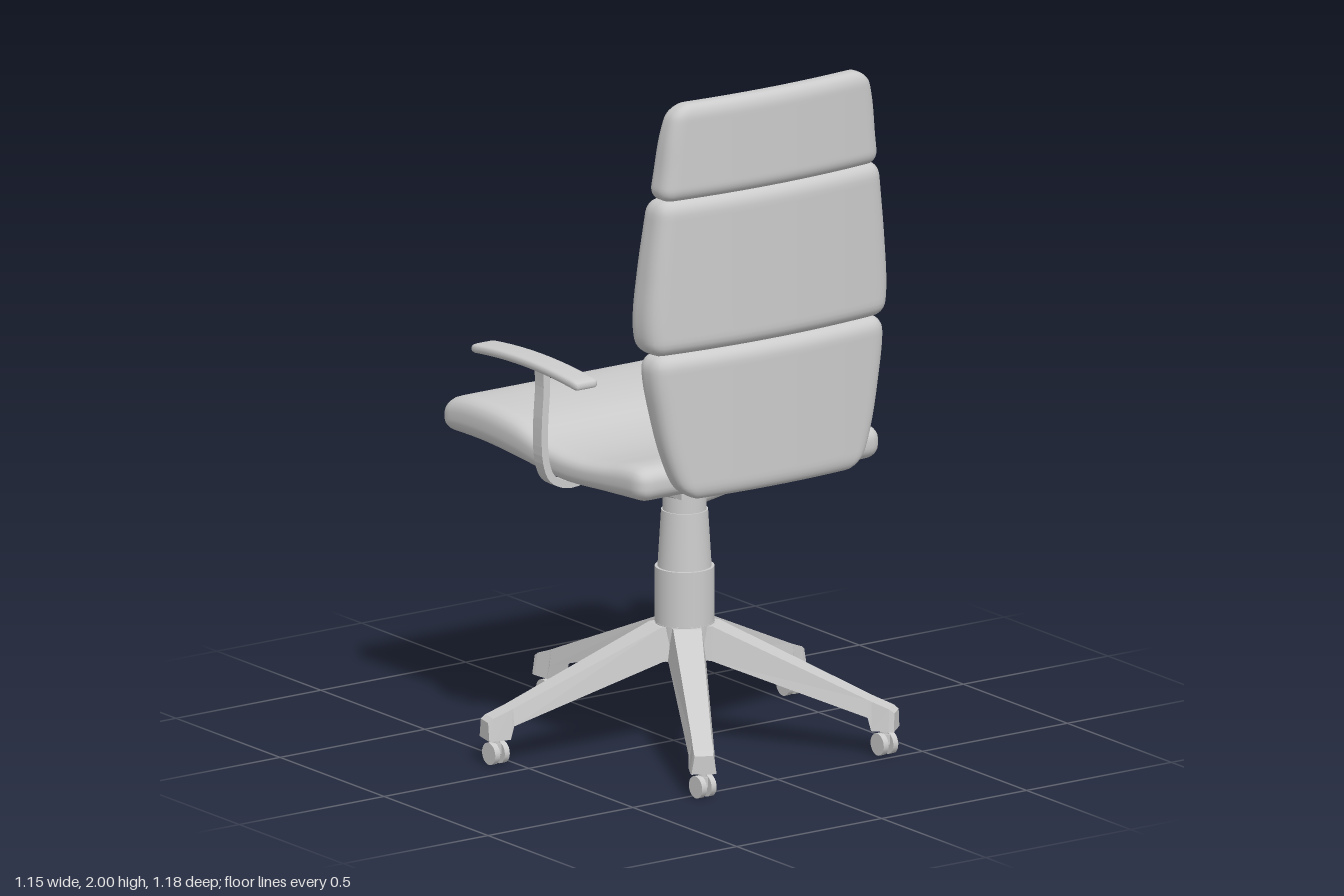
import * as THREE from 'three';
import { mergeVertices } from 'three/addons/utils/BufferGeometryUtils.js';

const CX = 0.03, CZ = -0.016; // column axis
const grey = new THREE.MeshStandardMaterial({ color: 0xcccccc });
const faceted = new THREE.MeshStandardMaterial({ color: 0xcccccc, flatShading: true });

function add(parent, name, geometry, x = 0, y = 0, z = 0, material = grey) {
  const mesh = new THREE.Mesh(geometry, material);
  mesh.name = name;
  mesh.position.set(x, y, z);
  parent.add(mesh);
  return mesh;
}

// Smooth function through [t, value] pairs
function profile(pairs) {
  const f = new THREE.CubicInterpolant(pairs.map(p => p[0]), pairs.map(p => p[1]), 1);
  const lo = pairs[0][0], hi = pairs[pairs.length - 1][0];
  return t => f.evaluate(Math.min(hi, Math.max(lo, t)))[0];
}

// Finely divided rounded box, reshaped by a rule
function cushion(w, h, d, r, segments, rule) {
  const g = new THREE.BoxGeometry(w, h, d, ...segments);
  g.deleteAttribute('uv');
  g.deleteAttribute('normal');
  const limit = new THREE.Vector3(w / 2 - r, h / 2 - r, d / 2 - r);
  const low = limit.clone().negate();
  const p = new THREE.Vector3(), inner = new THREE.Vector3();
  const pos = g.attributes.position;
  for (let i = 0; i < pos.count; i++) {
    p.fromBufferAttribute(pos, i);
    inner.copy(p).clamp(low, limit);
    p.sub(inner).setLength(r).add(inner);
    rule(p);
    pos.setXYZ(i, p.x, p.y, p.z);
  }
  const merged = mergeVertices(g, 1e-5);
  merged.computeVertexNormals();
  return merged;
}

// Tapered beam along x from sections [x, top, bottom, half width top, half width bottom]
function beam(sections) {
  const n = sections.length - 1;
  const g = new THREE.BoxGeometry(1, 1, 1, n, 1, 1);
  const pos = g.attributes.position;
  for (let i = 0; i < pos.count; i++) {
    const [x, top, bottom, wt, wb] = sections[Math.round((pos.getX(i) + 0.5) * n)];
    const up = pos.getY(i) > 0;
    pos.setXYZ(i, x, up ? top : bottom, Math.sign(pos.getZ(i)) * (up ? wt : wb));
  }
  const flat = g.toNonIndexed();
  flat.computeVertexNormals();
  return flat;
}

function buildSeat(parent) {
  const top = profile([[-0.575, 0.925], [-0.5, 0.95], [-0.36, 0.958], [-0.22, 0.945], [-0.1, 0.914],
    [0, 0.902], [0.1, 0.903], [0.2, 0.915], [0.32, 0.935], [0.4, 0.935]]);
  const bottom = profile([[-0.575, 0.84], [-0.38, 0.84], [-0.2, 0.829], [0, 0.816], [0.2, 0.828], [0.4, 0.84]]);
  const g = cushion(0.975, 0.11, 0.84, 0.045, [56, 10, 48], p => {
    p.x -= 0.0875;
    p.y = THREE.MathUtils.lerp(bottom(p.x), top(p.x), p.y / 0.11 + 0.5);
  });
  add(parent, 'seat', g, 0, 0, -0.02);
}

function buildBackrest(parent) {
  // [bottom, top, half widths by height, front face x by height]
  const parts = [
    ['lumbarCushion', 0.845, 1.275, [[0.845, 0.285], [0.88, 0.315], [0.95, 0.345], [1.1, 0.38], [1.22, 0.397], [1.275, 0.392]],
      [[0.845, 0.415], [1.1, 0.385], [1.275, 0.372]]],
    ['middleCushion', 1.27, 1.725, [[1.27, 0.405], [1.35, 0.415], [1.5, 0.406], [1.65, 0.389], [1.725, 0.38]],
      [[1.27, 0.362], [1.36, 0.358], [1.55, 0.367], [1.725, 0.38]]],
    ['headCushion', 1.718, 2.0, [[1.718, 0.378], [1.8, 0.367], [1.92, 0.352], [1.97, 0.338], [2, 0.32]],
      [[1.718, 0.385], [1.85, 0.395], [2, 0.415]]],
  ];
  const back = new THREE.Group();
  back.name = 'backrest';
  parent.add(back);
  for (const [name, y0, y1, widths, fronts] of parts) {
    const half = profile(widths), front = profile(fronts);
    const g = cushion(0.11, y1 - y0, 0.8, 0.042, [10, 32, 48], p => {
      p.y += (y0 + y1) / 2;
      p.z *= half(p.y) / 0.4;
      p.x = THREE.MathUtils.lerp(front(p.y), 0.485, p.x / 0.11 + 0.5) - 0.2 * p.z * p.z;
    });
    add(back, name, g, 0, 0, -0.017);
  }
}

function buildArm(parent, side) {
  const arm = new THREE.Group();
  arm.name = side > 0 ? 'armPositiveZ' : 'armNegativeZ';
  arm.position.z = CZ;
  parent.add(arm);
  const pad = cushion(0.51, 0.028, 0.08, 0.013, [32, 6, 10], p => { p.y -= 0.016 * (p.x / 0.255) ** 2; });
  add(arm, 'armPad', pad, -0.055, 1.166, side * 0.458);

  // Flat bent strap: an outline offset to both sides of its centre line
  const path = new THREE.CatmullRomCurve3([[0.458, 1.16], [0.455, 1.1], [0.462, 0.98], [0.457, 0.88],
    [0.435, 0.83], [0.385, 0.806], [0.32, 0.81], [0.24, 0.822]].map(([z, y]) => new THREE.Vector3(z, y, 0)));
  const outer = [], inner = [];
  for (let i = 0; i <= 28; i++) {
    const p = path.getPoint(i / 28), t = path.getTangent(i / 28);
    outer.push(new THREE.Vector2(side * (p.x + t.y * 0.011), p.y - t.x * 0.011));
    inner.unshift(new THREE.Vector2(side * (p.x - t.y * 0.011), p.y + t.x * 0.011));
  }
  const strap = new THREE.ExtrudeGeometry(new THREE.Shape([...outer, ...inner]), { depth: 0.042, bevelEnabled: false });
  add(arm, 'armStrap', strap, 0.002).rotation.y = -Math.PI / 2;
}

function buildMechanism(parent) {
  // Plate with a tapered underside
  add(parent, 'seatPlate', new THREE.BoxGeometry(0.58, 0.035, 0.38), -0.01, 0.808, CZ);
  add(parent, 'plateUnderside', beam([[-0.27, 0.791, 0.785, 0.19, 0.17], [-0.16, 0.791, 0.762, 0.19, 0.14],
    [0.16, 0.791, 0.762, 0.19, 0.14], [0.27, 0.791, 0.785, 0.19, 0.17]]), -0.01, 0, CZ);

  // Ribbed tension knob
  const ribbed = new THREE.CylinderGeometry(0.026, 0.031, 0.075, 28);
  const pos = ribbed.attributes.position;
  for (let i = 0; i < pos.count; i++) {
    const a = Math.atan2(pos.getZ(i), pos.getX(i));
    const s = 1 + 0.07 * Math.cos(14 * a);
    pos.setXYZ(i, pos.getX(i) * s, pos.getY(i), pos.getZ(i) * s);
  }
  const knob = add(parent, 'tensionKnob', ribbed, -0.232, 0.73, -0.03, faceted);
  knob.rotation.z = -0.25;
  add(knob, 'knobStem', new THREE.CylinderGeometry(0.012, 0.012, 0.06, 16), 0, 0.05, 0);

  // Height lever: bent rod with a flared grip
  const rod = new THREE.CatmullRomCurve3([[0, 0.765, -0.1], [0, 0.765, -0.2], [0, 0.762, -0.27], [-0.01, 0.735, -0.288],
    [-0.05, 0.69, -0.265], [-0.1, 0.665, -0.245]].map(p => new THREE.Vector3(...p)));
  add(parent, 'heightLever', new THREE.TubeGeometry(rod, 32, 0.008, 10), 0, 0, 0);
  const from = new THREE.Vector3(-0.08, 0.672, -0.252), to = new THREE.Vector3(-0.185, 0.637, -0.225);
  const grip = add(parent, 'leverGrip', new THREE.CylinderGeometry(0.009, 0.026, 0.11, 16), 0, 0, 0);
  grip.position.lerpVectors(from, to, 0.5);
  grip.quaternion.setFromUnitVectors(new THREE.Vector3(0, 1, 0), from.clone().sub(to).normalize());
  grip.scale.z = 0.6;
}

function buildBase(parent) {
  // Telescopic column, [name, top radius, bottom radius, bottom, top]
  for (const [name, rt, rb, y0, y1] of [['columnTop', 0.062, 0.062, 0.66, 0.77], ['columnMiddle', 0.066, 0.077, 0.5, 0.68],
    ['columnSleeve', 0.084, 0.084, 0.34, 0.515], ['hub', 0.085, 0.08, 0.25, 0.355]]) {
    add(parent, name, new THREE.CylinderGeometry(rt, rb, y1 - y0, 40), CX, (y0 + y1) / 2, CZ);
  }
  // Five legs, each with a foot block and a twin-wheel caster
  for (let i = 0; i < 5; i++) {
    const a = THREE.MathUtils.degToRad(174.6 + 72 * i);
    const leg = add(parent, 'leg', beam([[0, 0.355, 0.26, 0.045, 0.055], [0.09, 0.352, 0.255, 0.04, 0.053],
      [0.535, 0.162, 0.113, 0.028, 0.037], [0.545, 0.158, 0.075, 0.028, 0.037],
      [0.595, 0.139, 0.075, 0.028, 0.037], [0.61, 0.128, 0.075, 0.026, 0.035]]), CX, 0, CZ);
    leg.rotation.y = -a;

    const caster = new THREE.Group();
    caster.name = 'caster';
    caster.position.set(CX + 0.575 * Math.cos(a), 0, CZ + 0.575 * Math.sin(a));
    parent.add(caster);
    add(caster, 'casterStem', new THREE.CylinderGeometry(0.012, 0.012, 0.06, 14), 0, 0.06, 0);
    add(caster, 'casterBody', new THREE.BoxGeometry(0.03, 0.03, 0.016), 0, 0.045, 0);
    for (const s of [-1, 1]) {
      add(caster, 'wheel', new THREE.CylinderGeometry(0.032, 0.032, 0.017, 24), 0, 0.032, s * 0.0165).rotation.x = Math.PI / 2;
    }
  }
}

export function createModel() {
  const chair = new THREE.Group();
  chair.name = 'officeChair';
  buildSeat(chair);
  buildBackrest(chair);
  for (const side of [-1, 1]) buildArm(chair, side);
  buildMechanism(chair);
  buildBase(chair);
  return chair;
}
